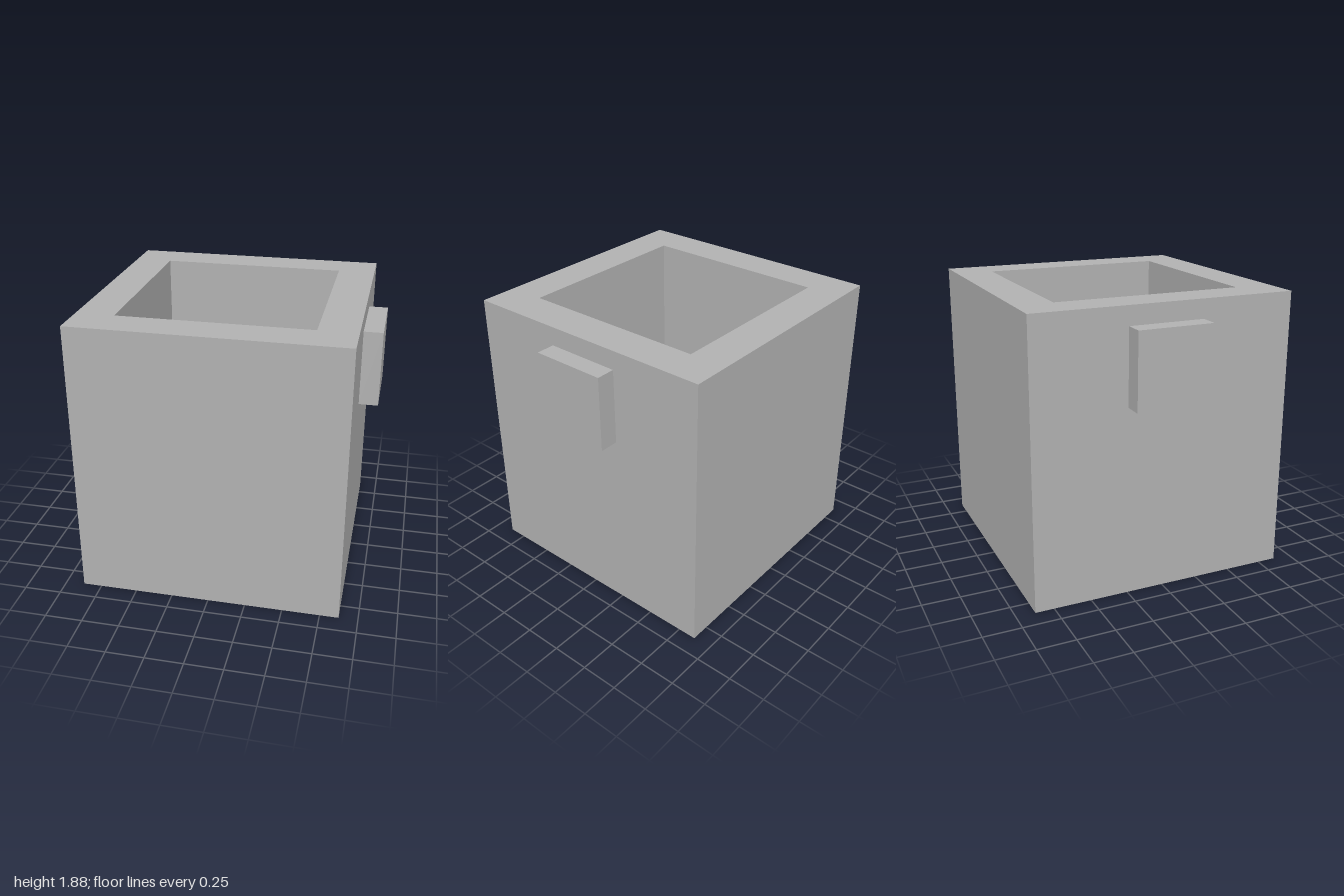
import * as THREE from 'three';

export function createModel() {
  const model = new THREE.Group();
  const grey = new THREE.MeshStandardMaterial({ color: 0xb2b2b2 });
  grey.name = 'grey';

  const size = 1.75, height = 1.875, wall = 0.25, floor = 0.25;

  const add = (name, geometry, x, y, z) => {
    const mesh = new THREE.Mesh(geometry, grey);
    mesh.name = name;
    mesh.position.set(x, y, z);
    model.add(mesh);
    return mesh;
  };

  const square = (Type, s) => {
    const h = s / 2;
    return new Type([[-h, -h], [h, -h], [h, h], [-h, h]].map(([x, y]) => new THREE.Vector2(x, y)));
  };

  // Hollow square body: one shell with a cavity, open at the top
  const outline = square(THREE.Shape, size);
  outline.holes.push(square(THREE.Path, size - 2 * wall));
  const shell = new THREE.ExtrudeGeometry(outline, { depth: height, bevelEnabled: false });
  shell.rotateX(-Math.PI / 2);
  add('body', shell, 0, 0, 0);

  // Floor plugging the bottom of the cavity
  const inner = size - 2 * wall;
  add('floor', new THREE.BoxGeometry(inner, floor, inner), 0, floor / 2, 0);

  // Square side handles
  for (const [name, side] of [['leftHandle', 1], ['rightHandle', -1]]) {
    add(name, new THREE.BoxGeometry(0.125, 0.5, 0.5), side * 0.9375, 1.5, 0);
  }

  return model;
}
